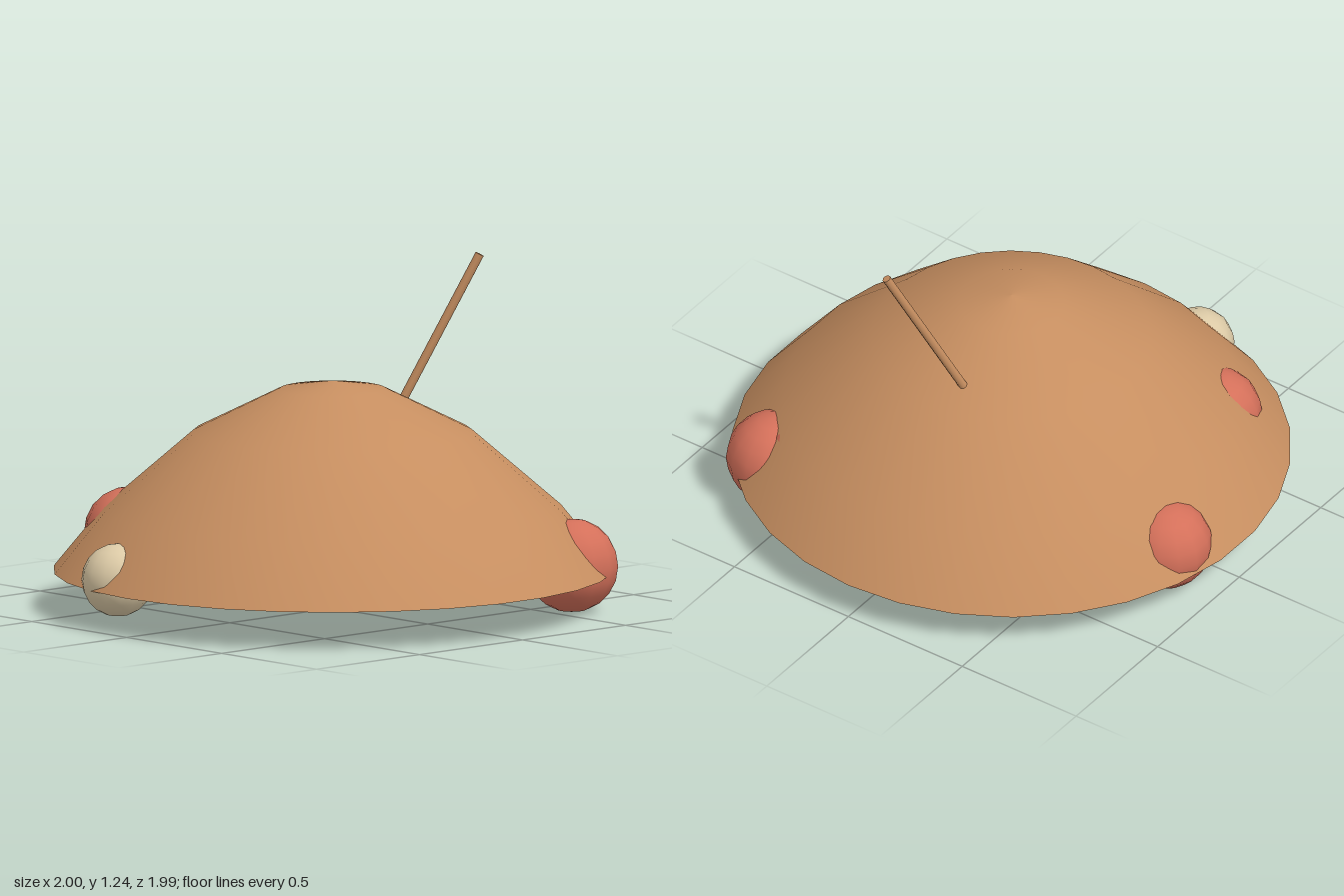
import * as THREE from 'three';

const crust = new THREE.MeshStandardMaterial({ color: 0xc68e60 });
crust.name = 'tan brown';
const red = new THREE.MeshStandardMaterial({ color: 0xd4705a });
red.name = 'coral red';
const cream = new THREE.MeshStandardMaterial({ color: 0xdccaa6 });
cream.name = 'cream';

export function createModel() {
  const model = new THREE.Group();
  const add = (name, geometry, material, x = 0, y = 0, z = 0) => {
    const mesh = new THREE.Mesh(geometry, material);
    mesh.name = name;
    mesh.position.set(x, y, z);
    model.add(mesh);
    return mesh;
  };

  // Smooth domed top and its flat underside
  const rim = 0.147;
  const profile = [[1, rim], [0.82, 0.368], [0.5, 0.645], [0.19, 0.8], [0, 0.83]]
    .map(([r, y]) => new THREE.Vector2(r, y));
  add('dome', new THREE.LatheGeometry(profile, 30, Math.PI / 2), crust);
  const base = add('underside', new THREE.CircleGeometry(1, 30), crust, 0, rim, 0);
  base.rotation.x = Math.PI / 2;

  // Balls half sunk into the rim: material, radius, centre
  const balls = [
    ['frontBall', red, 0.168, 0.57, 0.175, 0.64],
    ['smallFrontBall', red, 0.13, 0.56, 0.246, 0.5],
    ['backBall', red, 0.165, 0.18, 0.19, -0.81],
    ['sunkenBall', red, 0.165, -0.465, 0.265, -0.565],
    ['creamBall', cream, 0.131, -0.85, 0.175, -0.21],
  ];
  for (const [name, material, radius, x, y, z] of balls) {
    add(name, new THREE.SphereGeometry(radius, 14, 10), material, x, y, z);
  }

  // Thin leaning stick
  const foot = new THREE.Vector3(0.385, 0.69, -0.066);
  const tip = new THREE.Vector3(0.61, 1.235, 0.112);
  const lean = tip.clone().sub(foot);
  const stick = add('stick', new THREE.CylinderGeometry(0.016, 0.016, lean.length(), 8), crust);
  stick.position.copy(foot).add(tip).multiplyScalar(0.5);
  stick.quaternion.setFromUnitVectors(new THREE.Vector3(0, 1, 0), lean.normalize());

  return model;
}
